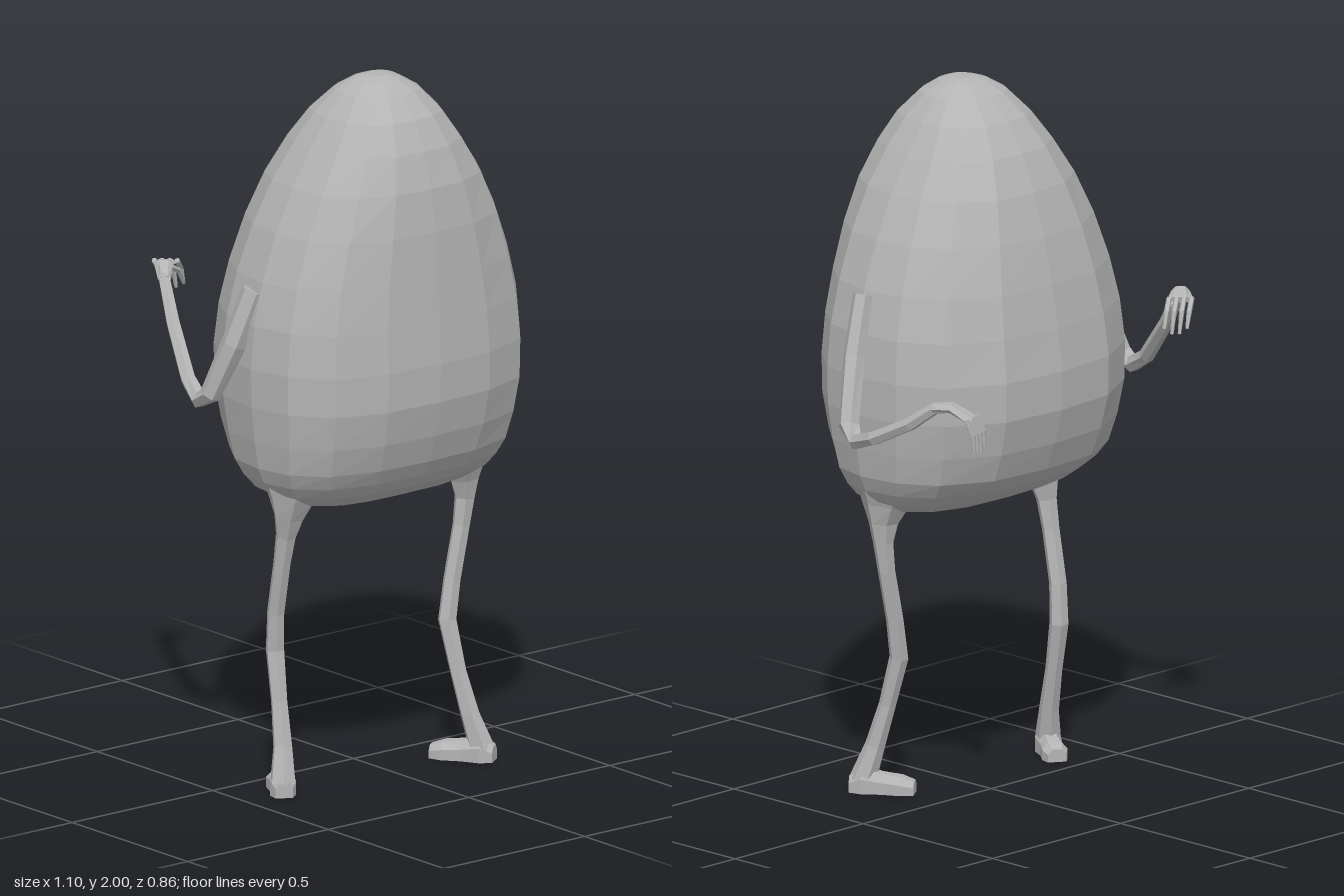
import * as THREE from 'three';

// Joins a list of equal-length rings (arrays of Vector3) into a faceted, capped skin
function loft(rings) {
  const pos = [];
  const tri = (...pts) => pts.forEach((p) => pos.push(p.x, p.y, p.z));
  const n = rings[0].length;
  for (let k = 0; k < rings.length - 1; k++) {
    for (let i = 0; i < n; i++) {
      const j = (i + 1) % n;
      const a = rings[k][i], b = rings[k][j], c = rings[k + 1][j], d = rings[k + 1][i];
      tri(a, b, c);
      tri(a, c, d);
    }
  }
  const cap = (ring, flip) => {
    const mid = new THREE.Vector3();
    ring.forEach((p) => mid.addScaledVector(p, 1 / n));
    ring.forEach((p, i) => {
      const q = ring[(i + 1) % n];
      if (flip) tri(mid, q, p); else tri(mid, p, q);
    });
  };
  cap(rings[0], true);
  cap(rings[rings.length - 1], false);
  const g = new THREE.BufferGeometry();
  g.setAttribute('position', new THREE.Float32BufferAttribute(pos, 3));
  g.computeVertexNormals();
  return g;
}

// Limb along points [x, y, z, thickness, width]; width is measured along the side axis
function limb(points, side = [1, 0, 0], sides = 6) {
  const axis = new THREE.Vector3(...side);
  const c = points.map((p) => new THREE.Vector3(p[0], p[1], p[2]));
  return loft(c.map((p, k) => {
    const t = c[Math.min(k + 1, c.length - 1)].clone().sub(c[Math.max(k - 1, 0)]).normalize();
    const u = axis.clone().cross(t).normalize();
    const v = t.clone().cross(u);
    const [, , , r, w = r] = points[k];
    return Array.from({ length: sides }, (_, i) => {
      const a = ((i + 0.5) / sides) * Math.PI * 2;
      return p.clone().addScaledVector(u, r * Math.cos(a)).addScaledVector(v, w * Math.sin(a));
    });
  }));
}

// Egg body: one sixteen-sided outline scaled at each height
function bodyGeometry() {
  const half = [[0, 1], [0.41, 0.97], [0.75, 0.8], [0.94, 0.44], [1, 0],
    [0.96, -0.39], [0.8, -0.72], [0.455, -0.953], [0, -1]];
  const outline = [...half, ...half.slice(1, -1).reverse().map(([x, z]) => [-x, z])];
  // height, half width, front z, back z
  const sections = [
    [0.8, 0.1, 0.18, 0.09], [0.806, 0.22, 0.22, 0.04], [0.825, 0.305, 0.27, -0.015],
    [0.86, 0.365, 0.32, -0.085], [0.895, 0.392, 0.348, -0.135],
    [0.94, 0.412, 0.375, -0.178], [1.02, 0.425, 0.403, -0.211], [1.12, 0.436, 0.424, -0.236],
    [1.23, 0.438, 0.426, -0.238], [1.35, 0.427, 0.418, -0.222], [1.47, 0.397, 0.409, -0.2],
    [1.6, 0.349, 0.4, -0.169], [1.72, 0.29, 0.383, -0.13], [1.82, 0.226, 0.352, -0.082],
    [1.9, 0.17, 0.31, -0.025], [1.96, 0.115, 0.255, 0.04], [1.99, 0.065, 0.212, 0.088],
    [2, 0.03, 0.18, 0.12],
  ];
  return loft(sections.map(([y, w, front, back]) => {
    const mid = 0.135;
    return outline.map(([x, z]) =>
      new THREE.Vector3(-0.037 + x * w, y, mid + z * (z > 0 ? front - mid : mid - back)));
  }));
}

export function createModel() {
  const model = new THREE.Group();
  const grey = new THREE.MeshStandardMaterial({ color: 0xb4b4b4 });
  grey.name = 'grey';
  const add = (name, geometry) => {
    const mesh = new THREE.Mesh(geometry, grey);
    mesh.name = name;
    model.add(mesh);
  };

  add('body', bodyGeometry());

  // Arms, shoulder to wrist
  add('leftArm', limb([
    [0.375, 1.46, 0.125, 0.028], [0.43, 1.3, 0.105, 0.031], [0.495, 1.125, 0.06, 0.03],
    [0.515, 1.092, 0.01, 0.024], [0.53, 1.12, -0.07, 0.021], [0.51, 1.18, -0.19, 0.02],
    [0.485, 1.24, -0.27, 0.017]]));
  add('rightArm', limb([
    [-0.435, 1.44, 0.1, 0.036], [-0.483, 1.29, 0.07, 0.036], [-0.52, 1.14, 0.015, 0.03],
    [-0.522, 1.115, -0.03, 0.025], [-0.505, 1.155, -0.1, 0.022], [-0.46, 1.28, -0.22, 0.02],
    [-0.42, 1.39, -0.31, 0.017]]));

  // Palms, flattened and bent at the wrist
  const leftAcross = [0.93, 0, -0.3], rightAcross = [0.75, 0, 0.65];
  add('leftPalm', limb([[0.49, 1.235, -0.26, 0.016, 0.018], [0.465, 1.242, -0.305, 0.014, 0.026],
    [0.43, 1.21, -0.35, 0.01, 0.037]], leftAcross));
  add('rightPalm', limb([[-0.425, 1.38, -0.3, 0.016, 0.018], [-0.395, 1.41, -0.34, 0.014, 0.026],
    [-0.355, 1.4, -0.38, 0.01, 0.037]], rightAcross));

  // Four drooping fingers and a thumb on each hand
  for (let i = 0; i < 4; i++) {
    const s = (i - 1.5) * 0.021;
    const drop = i === 0 || i === 3 ? 0.015 : 0;
    const lx = 0.43 + s * 0.93, lz = -0.35 - s * 0.3;
    add('leftFinger', limb([[lx, 1.215, lz, 0.008], [lx - 0.012, 1.17, lz - 0.013, 0.008],
      [lx - 0.016, 1.11 + drop, lz - 0.015, 0.005]], leftAcross, 5));
    const rx = -0.355 + s * 0.75, rz = -0.38 + s * 0.65;
    add('rightFinger', limb([[rx, 1.405, rz, 0.008], [rx + 0.028, 1.375, rz - 0.018, 0.008],
      [rx + 0.044, 1.315 + drop, rz - 0.025, 0.005]], rightAcross, 5));
  }
  add('leftThumb', limb([[0.44, 1.225, -0.315, 0.009], [0.405, 1.19, -0.33, 0.008],
    [0.385, 1.15, -0.342, 0.005]], leftAcross, 5));
  add('rightThumb', limb([[-0.375, 1.4, -0.345, 0.009], [-0.325, 1.375, -0.36, 0.008],
    [-0.295, 1.33, -0.375, 0.005]], rightAcross, 5));

  // Legs, flared where they join the body
  add('leftLeg', limb([
    [0.26, 0.9, 0.14, 0.1, 0.1], [0.268, 0.84, 0.145, 0.068, 0.068],
    [0.275, 0.785, 0.145, 0.04, 0.045], [0.278, 0.73, 0.143, 0.029],
    [0.268, 0.65, 0.14, 0.025], [0.237, 0.5, 0.138, 0.025], [0.217, 0.39, 0.142, 0.027],
    [0.226, 0.25, 0.178, 0.024], [0.242, 0.13, 0.21, 0.028], [0.266, 0.03, 0.235, 0.038]]));
  add('rightLeg', limb([
    [-0.33, 0.9, 0.14, 0.1, 0.1], [-0.34, 0.84, 0.145, 0.068, 0.068],
    [-0.348, 0.785, 0.143, 0.04, 0.045], [-0.35, 0.73, 0.133, 0.029],
    [-0.35, 0.65, 0.117, 0.025], [-0.346, 0.5, 0.085, 0.025], [-0.341, 0.39, 0.076, 0.027],
    [-0.35, 0.25, 0.105, 0.024], [-0.362, 0.13, 0.135, 0.028], [-0.381, 0.03, 0.158, 0.038]]));

  // Feet: wedge from heel to toe, turned inwards
  const foot = (name, heel, toe) => {
    const h = new THREE.Vector3(heel[0], 0, heel[1]);
    const d = new THREE.Vector3(toe[0], 0, toe[1]).sub(h);
    const across = new THREE.Vector3(d.z, 0, -d.x).normalize();
    const stations = [[0, 0.024, 0.045], [0.2, 0.036, 0.07], [0.5, 0.031, 0.055],
      [0.8, 0.036, 0.048], [1, 0.026, 0.036]];
    add(name, loft(stations.map(([f, w, top]) => {
      const c = h.clone().addScaledVector(d, f);
      return [[-1, 0], [1, 0], [1, 0.6], [0.5, 1], [-0.5, 1], [-1, 0.6]].map(([a, y]) =>
        c.clone().addScaledVector(across, a * w).setY(y * top));
    })));
  };
  foot('leftFoot', [0.285, 0.264], [0.182, 0.115]);
  foot('rightFoot', [-0.397, 0.184], [-0.318, 0.06]);

  return model;
}
